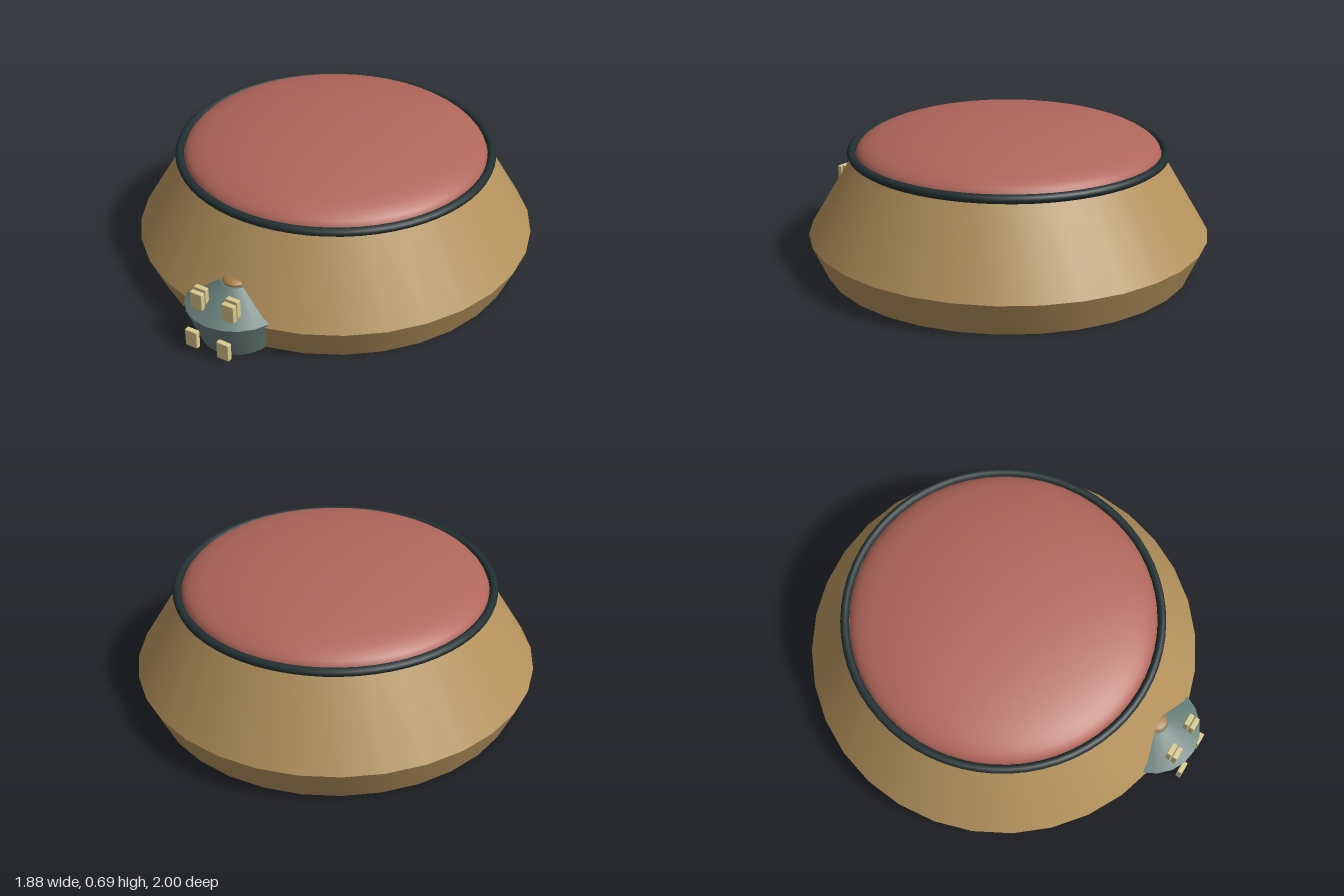
import * as THREE from 'three';
import { toCreasedNormals } from 'three/addons/utils/BufferGeometryUtils.js';
import { RoundedBoxGeometry } from 'three/addons/geometries/RoundedBoxGeometry.js';

const mat = (name, color) => new THREE.MeshStandardMaterial({ name, color });

export function createModel() {
  const model = new THREE.Group();
  const tan = mat('tan', 0xb4925c);
  const red = mat('clay red', 0xb0665a);
  const dark = mat('dark slate', 0x223032);
  const green = mat('grey green', 0x667d77);
  const cream = mat('cream', 0xdac98e);
  const bronze = mat('bronze', 0xa47c48);

  const add = (name, geometry, material, x, y, z) => {
    const mesh = new THREE.Mesh(geometry, material);
    mesh.name = name;
    mesh.position.set(x, y, z);
    model.add(mesh);
    return mesh;
  };
  // Turned solid from [radius, height] points, with sharp rims
  const turned = (points, sides) => toCreasedNormals(
    new THREE.LatheGeometry(points.map(p => new THREE.Vector2(...p)), sides), 0.42);

  // Large body: flared foot, sloping wall and flat top
  const cz = -0.06;
  add('body', turned([[0, 0], [0.87, 0], [0.94, 0.16], [0.71, 0.54], [0, 0.54]], 32), tan, 0, 0, cz);

  // Shallow domed top
  const dome = new THREE.SphereGeometry(0.71, 48, 14, 0, Math.PI * 2, 0, Math.PI / 2);
  dome.scale(1, 0.145 / 0.71, 1);
  add('dome', dome, red, 0, 0.54, cz);

  // Ring around the dome
  const ring = new THREE.TorusGeometry(0.73, 0.02, 10, 64);
  ring.rotateX(Math.PI / 2);
  add('rimRing', ring, dark, 0, 0.545, cz);

  // Small pod set into the front wall
  const pz = 0.765;
  add('pod', turned([[0, 0.001], [0.168, 0.001], [0.232, 0.178], [0.07, 0.285], [0, 0.285]], 20), green, 0, -0.001, pz);

  // Low knob on the pod
  const knob = new THREE.SphereGeometry(0.055, 20, 10);
  knob.scale(1, 0.36, 1);
  add('podKnob', knob, bronze, 0, 0.29, 0.775);

  // Mirrored blocks on the pod: two upper rows and one lower row
  for (const x of [-0.083, 0.083]) {
    const block = (name, y, z) =>
      add(name, new RoundedBoxGeometry(0.062, 0.085, 0.025, 1, 0.004), cream, x, y, z);
    block('upperFrontBlock', 0.247, 0.937);
    block('upperRearBlock', 0.256, 0.907);
    block('lowerBlock', 0.079, 0.9875);
  }
  return model;
}
